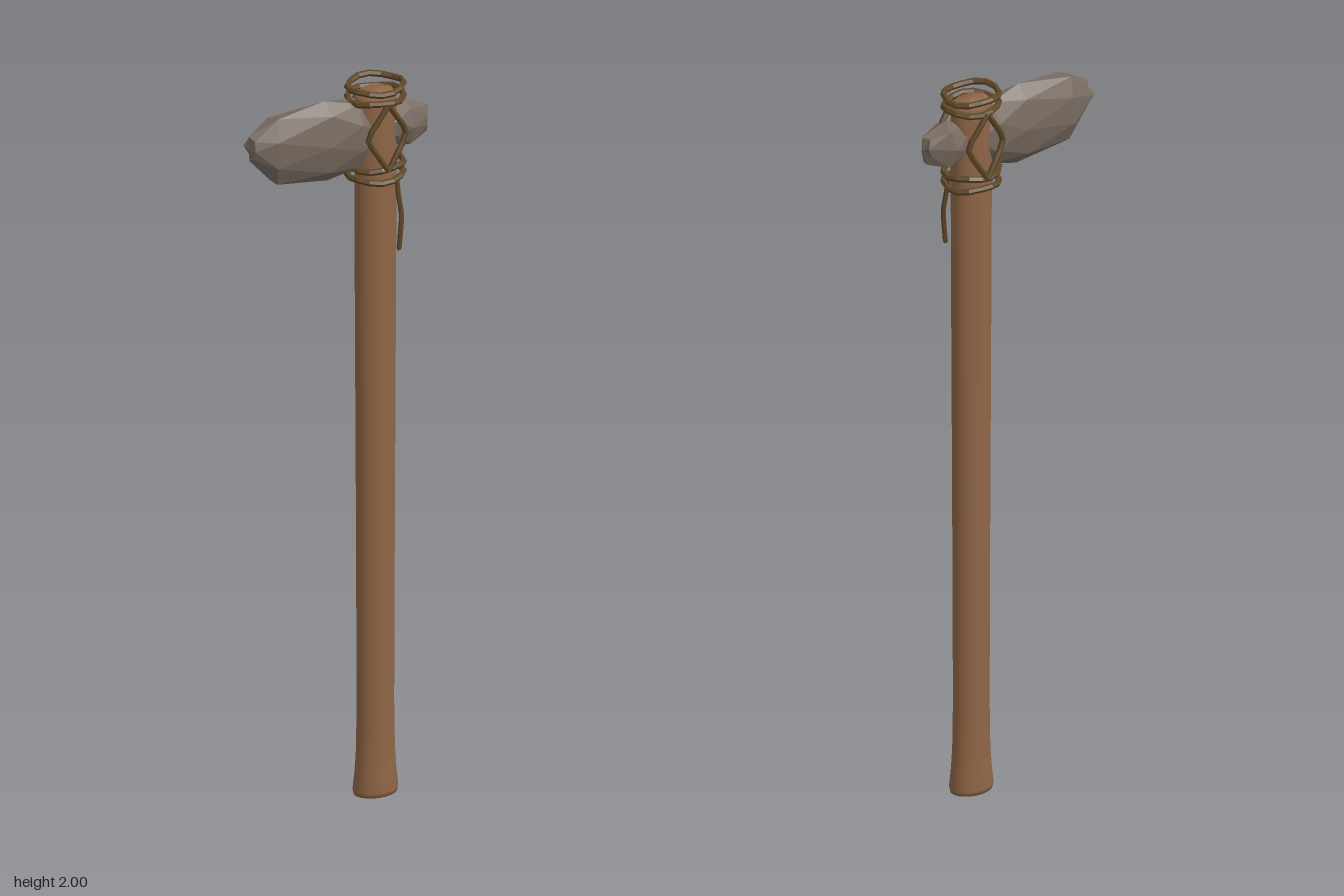
import * as THREE from 'three';

const CX = 0.107; // handle axis
const HEAD_Y = 1.865;

const wood = new THREE.MeshStandardMaterial({ color: 0x8f6646 });
wood.name = 'wood';
const stone = new THREE.MeshStandardMaterial({ color: 0x776a5f, flatShading: true });
stone.name = 'stone';
const cord = new THREE.MeshStandardMaterial({ color: 0x5e4728, flatShading: true });
cord.name = 'cord';

function part(name, geometry, material) {
  const mesh = new THREE.Mesh(geometry, material);
  mesh.name = name;
  return mesh;
}

// Oval wooden shaft with a flared foot and softly closed ends
function makeHandle() {
  const profile = [
    [0, 0], [0.059, 0], [0.062, 0.012], [0.057, 0.06], [0.053, 0.12], [0.051, 0.25],
    [0.053, 0.8], [0.056, 1.4], [0.058, 1.9], [0.057, 1.955], [0.048, 1.97], [0, 1.975],
  ].map(([r, y]) => new THREE.Vector2(r, y));
  const geometry = new THREE.LatheGeometry(profile, 24);
  geometry.scale(1, 1, 0.74);
  const handle = part('handle', geometry, wood);
  handle.position.x = CX;
  return handle;
}

// Chipped stone head: eight-sided loops along x, pinched where the handle passes
function makeHead() {
  const sections = [ // x, centre y, half height, half depth
    [-0.255, 1.885, 0.035, 0.026],
    [-0.19, 1.866, 0.097, 0.043],
    [-0.04, 1.862, 0.111, 0.053],
    [0.05, 1.863, 0.096, 0.046],
    [0.107, HEAD_Y, 0.05, 0.032],
    [0.145, HEAD_Y, 0.05, 0.036],
    [0.19, HEAD_Y, 0.068, 0.048],
    [0.25, HEAD_Y, 0.038, 0.025],
  ];
  const sides = 8;
  const vertices = [];
  const indices = [];
  sections.forEach(([x, cy, h, d], i) => {
    for (let j = 0; j < sides; j++) {
      const a = ((j + (i % 2) * 0.5) / sides) * Math.PI * 2;
      const chip = Math.sin(i * 5.3 + j * 2.7);
      vertices.push(x + chip * 0.007, cy + Math.sin(a) * h * (1 + chip * 0.03), Math.cos(a) * d);
    }
  });
  for (let i = 0; i < sections.length - 1; i++) {
    for (let j = 0; j < sides; j++) {
      const k = (j + 1) % sides;
      const a = i * sides + j, b = i * sides + k;
      const c = a + sides, e = b + sides;
      if (i % 2) indices.push(a, e, b, a, c, e);
      else indices.push(a, c, b, b, c, e);
    }
  }
  // end caps
  const last = (sections.length - 1) * sides;
  vertices.push(-0.262, 1.885, 0, 0.257, HEAD_Y, 0);
  const tip = sections.length * sides;
  for (let j = 0; j < sides; j++) {
    const k = (j + 1) % sides;
    indices.push(tip, j, k, tip + 1, last + k, last + j);
  }
  const geometry = new THREE.BufferGeometry();
  geometry.setAttribute('position', new THREE.Float32BufferAttribute(vertices, 3));
  geometry.setIndex(indices);
  // the loops run toward +x, so turn the corners outward
  for (let i = 0; i < indices.length; i += 3) {
    const p = [0, 1, 2].map((n) => new THREE.Vector3().fromArray(vertices, indices[i + n] * 3));
    const normal = p[1].clone().sub(p[0]).cross(p[2].clone().sub(p[0]));
    const mid = p[0].clone().add(p[1]).add(p[2]).divideScalar(3);
    const out = i >= (sections.length - 1) * sides * 6
      ? new THREE.Vector3(mid.x, 0, 0)
      : new THREE.Vector3(0, mid.y - HEAD_Y, mid.z);
    if (normal.dot(out) < 0) [indices[i + 1], indices[i + 2]] = [indices[i + 2], indices[i + 1]];
  }
  geometry.setIndex(indices);
  geometry.computeVertexNormals();
  return part('stoneHead', geometry, stone);
}

function rope(points, segments, radius, closed) {
  const curve = new THREE.CatmullRomCurve3(points, closed, 'centripetal');
  return new THREE.TubeGeometry(curve, segments, radius, 6, closed);
}

// Slightly wavy loops above and below the head
function makeLoops() {
  const group = new THREE.Group();
  group.name = 'lashingLoops';
  [1.987, 1.957, 1.772, 1.74].forEach((y, n) => {
    const points = [];
    for (let i = 0; i < 12; i++) {
      const a = (i / 12) * Math.PI * 2;
      points.push(new THREE.Vector3(
        CX + Math.cos(a) * 0.074, y + Math.sin(a * 3 + n * 2) * 0.004, Math.sin(a) * 0.066));
    }
    group.add(part('loop', rope(points, 14, 0.0085, true), cord));
  });
  return group;
}

// Diamond bindings on the front and the back
function makeDiamonds() {
  const group = new THREE.Group();
  group.name = 'crossBindings';
  for (const face of [1, -1]) {
    for (const side of [1, -1]) {
      const points = [
        [0, 1.957, 0.071], [0.03, 1.912, 0.068], [0.054, 1.868, 0.063],
        [0.03, 1.82, 0.068], [0, 1.772, 0.071],
      ].map(([x, y, z]) => new THREE.Vector3(CX + x * side, y, z * face));
      group.add(part('binding', rope(points, 8, 0.008, false), cord));
    }
  }
  return group;
}

// Loose end of the cord
function makeStrand() {
  const points = [
    [0.138, 1.745, 0.056], [0.142, 1.69, 0.06], [0.147, 1.64, 0.066],
    [0.142, 1.59, 0.07], [0.139, 1.547, 0.068],
  ].map((p) => new THREE.Vector3(...p));
  const group = new THREE.Group();
  group.name = 'looseCord';
  group.add(part('strand', rope(points, 8, 0.0065, false), cord));
  const end = part('strandEnd', new THREE.IcosahedronGeometry(0.0068, 0), cord);
  end.position.copy(points[4]);
  group.add(end);
  return group;
}

export function createModel() {
  const model = new THREE.Group();
  model.name = 'stoneHammer';
  model.add(makeHandle(), makeHead(), makeLoops(), makeDiamonds(), makeStrand());
  return model;
}
